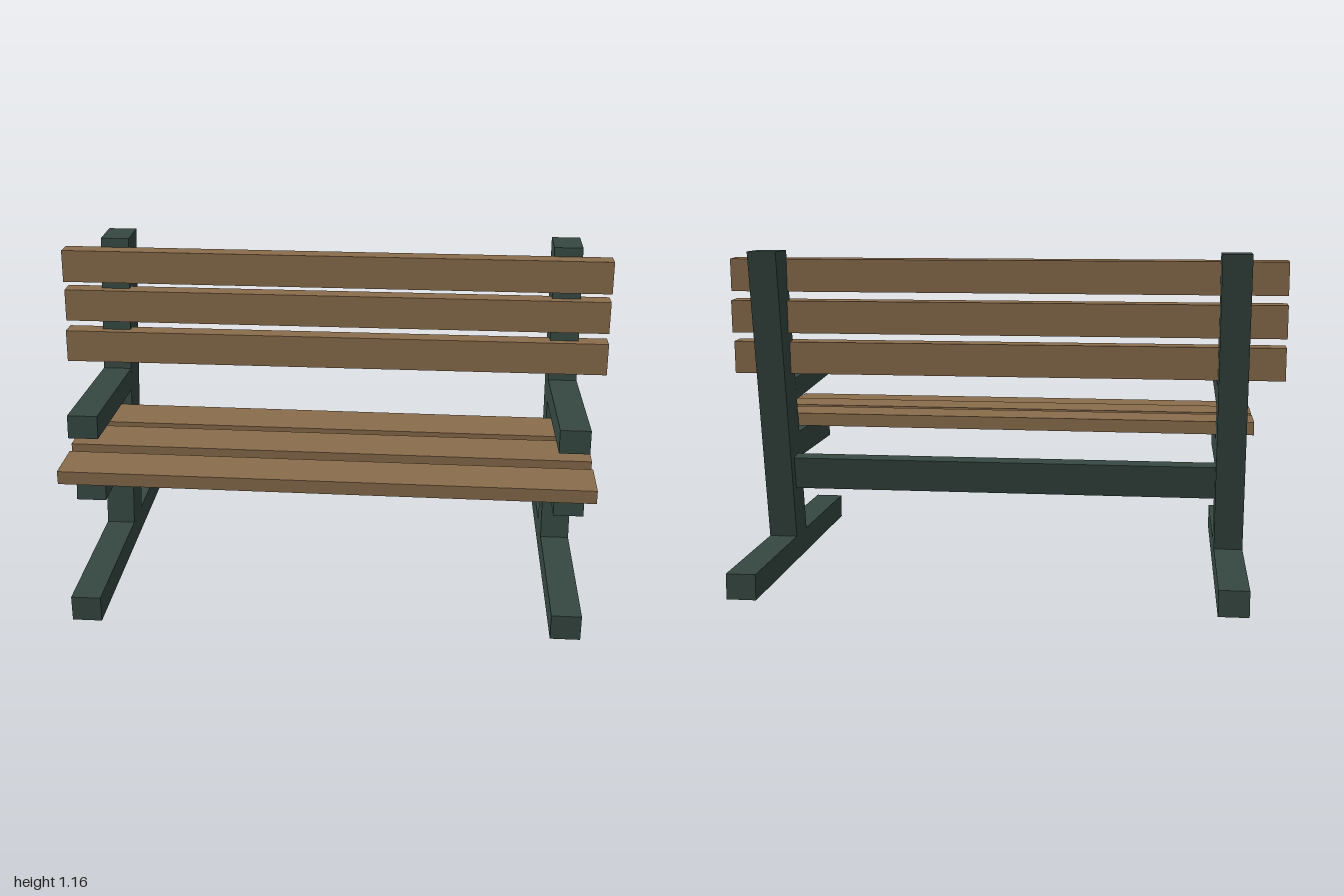
import * as THREE from 'three';

export function createModel() {
  const bench = new THREE.Group();
  bench.name = 'bench';
  const wood = new THREE.MeshStandardMaterial({ color: 0x8a6d4c });
  wood.name = 'brown wood';
  const green = new THREE.MeshStandardMaterial({ color: 0x364842 });
  green.name = 'dark green frame';

  const add = (parent, geometry, material, name) => {
    const mesh = new THREE.Mesh(geometry, material);
    mesh.name = name;
    parent.add(mesh);
    return mesh;
  };
  const box = (name, material, size, pos, rx = 0, ry = 0) => {
    const mesh = add(bench, new THREE.BoxGeometry(...size), material, name);
    mesh.position.set(...pos);
    mesh.rotation.set(rx, ry, 0);
    return mesh;
  };

  // Side profile given as [z, y] corners, extruded across x and centred
  const beamWidth = 0.103;
  const beam = (parent, name, corners) => {
    const shape = new THREE.Shape(corners.map(([z, y]) => new THREE.Vector2(-z, y)));
    const geometry = new THREE.ExtrudeGeometry(shape, { depth: beamWidth, bevelEnabled: false });
    geometry.translate(0, 0, -beamWidth / 2).rotateY(Math.PI / 2);
    add(parent, geometry, green, name);
  };

  // Two end frames: foot, leaning post, seat support and armrest
  for (const [side, x] of [['left', 0.842], ['right', -0.815]]) {
    const frame = new THREE.Group();
    frame.name = side + 'Frame';
    frame.position.x = x;
    bench.add(frame);
    beam(frame, 'foot', [[0.615, 0], [0.615, 0.09], [-0.615, 0.09], [-0.615, 0]]);
    beam(frame, 'post', [[0.047, 0.09], [-0.14, 1.165], [-0.278, 1.165], [-0.09, 0.09]]);
    beam(frame, 'seatSupport', [[0.443, 0.384], [0.427, 0.48], [-0.022, 0.48], [-0.005, 0.384]]);
    beam(frame, 'armrest', [[0.493, 0.641], [0.485, 0.721], [-0.056, 0.686], [-0.043, 0.606]]);
  }

  // Rail joining the posts, leaning with them
  box('crossRail', green, [1.56, 0.12, 0.05], [0.013, 0.338, -0.065], -0.172);

  // Seat slats, turned very slightly
  [[0.514, 0.466], [0.526, 0.262], [0.526, 0.058]].forEach(([y, z], i) =>
    box('seatSlat' + (i + 1), wood, [1.82, 0.047, 0.168], [0.01, y, z], 0, -0.0085));

  // Back slats
  [[0.772, -0.082], [0.924, -0.105], [1.075, -0.103]].forEach(([y, z], i) =>
    box('backSlat' + (i + 1), wood, [2, 0.118, 0.07], [0, y, z], -0.04));

  return bench;
}
